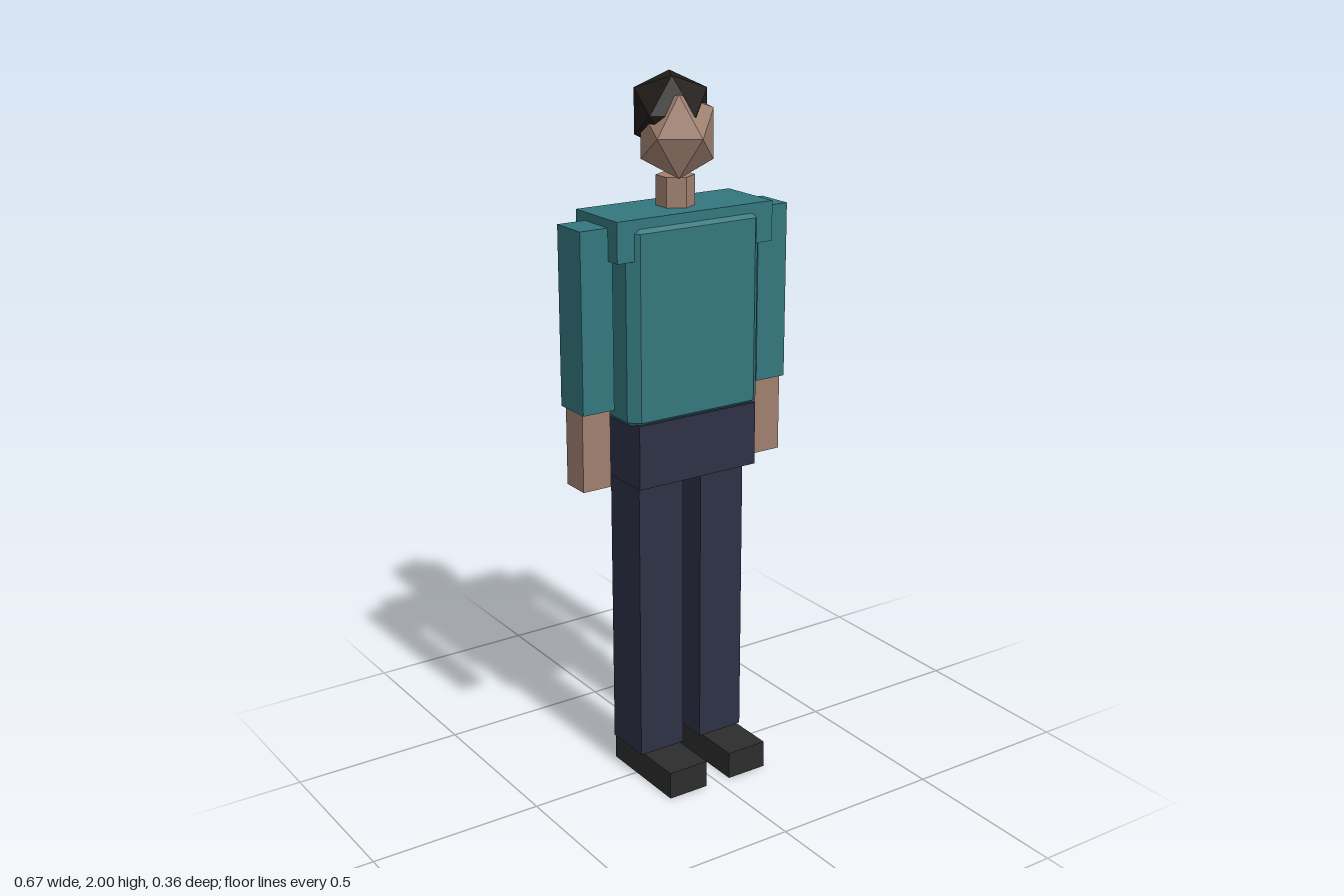
import * as THREE from 'three';

const material = (color) => new THREE.MeshStandardMaterial({ color, flatShading: true });

export function createModel() {
  const model = new THREE.Group();
  model.name = 'figure';

  const shirt = material(0x33777d);
  const trousers = material(0x2c3145);
  const skin = material(0xa08070);
  const hairDark = material(0x211d1a);
  const leather = material(0x2d2d2d);

  function add(name, geometry, mat) {
    const mesh = new THREE.Mesh(geometry, mat);
    mesh.name = name;
    model.add(mesh);
    return mesh;
  }

  // Box given by its lower and upper limits on each axis
  function block(name, mat, [x0, x1], [y0, y1], [z0, z1]) {
    const g = new THREE.BoxGeometry(x1 - x0, y1 - y0, z1 - z0);
    g.translate((x0 + x1) / 2, (y0 + y1) / 2, (z0 + z1) / 2);
    return add(name, g, mat);
  }

  // Icosahedron with one corner facing forward, stretched to its radii
  function facetedBall(name, mat, radii, centre) {
    const g = new THREE.IcosahedronGeometry(1, 0);
    g.rotateX(Math.atan(2 / (1 + Math.sqrt(5))));
    g.rotateZ(-Math.PI / 2);
    g.scale(...radii);
    g.translate(...centre);
    return add(name, g, mat);
  }

  // Limbs, mirrored left and right
  for (const [side, s] of [['left', 1], ['right', -1]]) {
    const span = (a, b) => (s > 0 ? [a, b] : [-b, -a]);
    block(side + 'Shoe', leather, span(0.04, 0.164), [0, 0.08], [-0.113, 0.178]);
    block(side + 'Leg', trousers, span(0.03, 0.174), [0.08, 0.912], [-0.103, 0.042]);
    block(side + 'Sleeve', shirt, span(0.236, 0.333), [1.132, 1.63], [-0.095, 0.019]);
    block(side + 'Hand', skin, span(0.241, 0.328), [0.91, 1.134], [-0.08, 0.005]);
  }

  block('hips', trousers, [-0.192, 0.192], [0.91, 1.092], [-0.151, 0.075]);

  // Torso: chamfered rectangle extruded upward with a small bevel
  const w = 0.213, d = 0.113, c = 0.028, bevel = 0.015;
  const outline = new THREE.Shape([
    [w, -d + c], [w, d - c], [w - c, d], [-w + c, d],
    [-w, d - c], [-w, -d + c], [-w + c, -d], [w - c, -d],
  ].map(([x, y]) => new THREE.Vector2(x, y)));
  const torso = new THREE.ExtrudeGeometry(outline, {
    depth: 0.545 - 2 * bevel,
    bevelEnabled: true,
    bevelThickness: bevel,
    bevelSize: bevel,
    bevelOffset: -bevel,
    bevelSegments: 1,
  });
  torso.rotateX(-Math.PI / 2);
  torso.translate(0, 1.085 + bevel, -0.038);
  add('torso', torso, shirt);

  block('shoulders', shirt, [-0.249, 0.249], [1.542, 1.653], [-0.139, 0.064]);

  // Six-sided neck
  const neck = new THREE.CylinderGeometry(0.053, 0.053, 0.1, 6);
  neck.translate(0, 1.685, -0.037);
  add('neck', neck, skin);

  facetedBall('head', skin, [0.11, 0.129, 0.121], [0, 1.845, -0.029]);
  facetedBall('hair', hairDark, [0.112, 0.1175, 0.118], [0, 1.9, -0.06]);

  return model;
}
